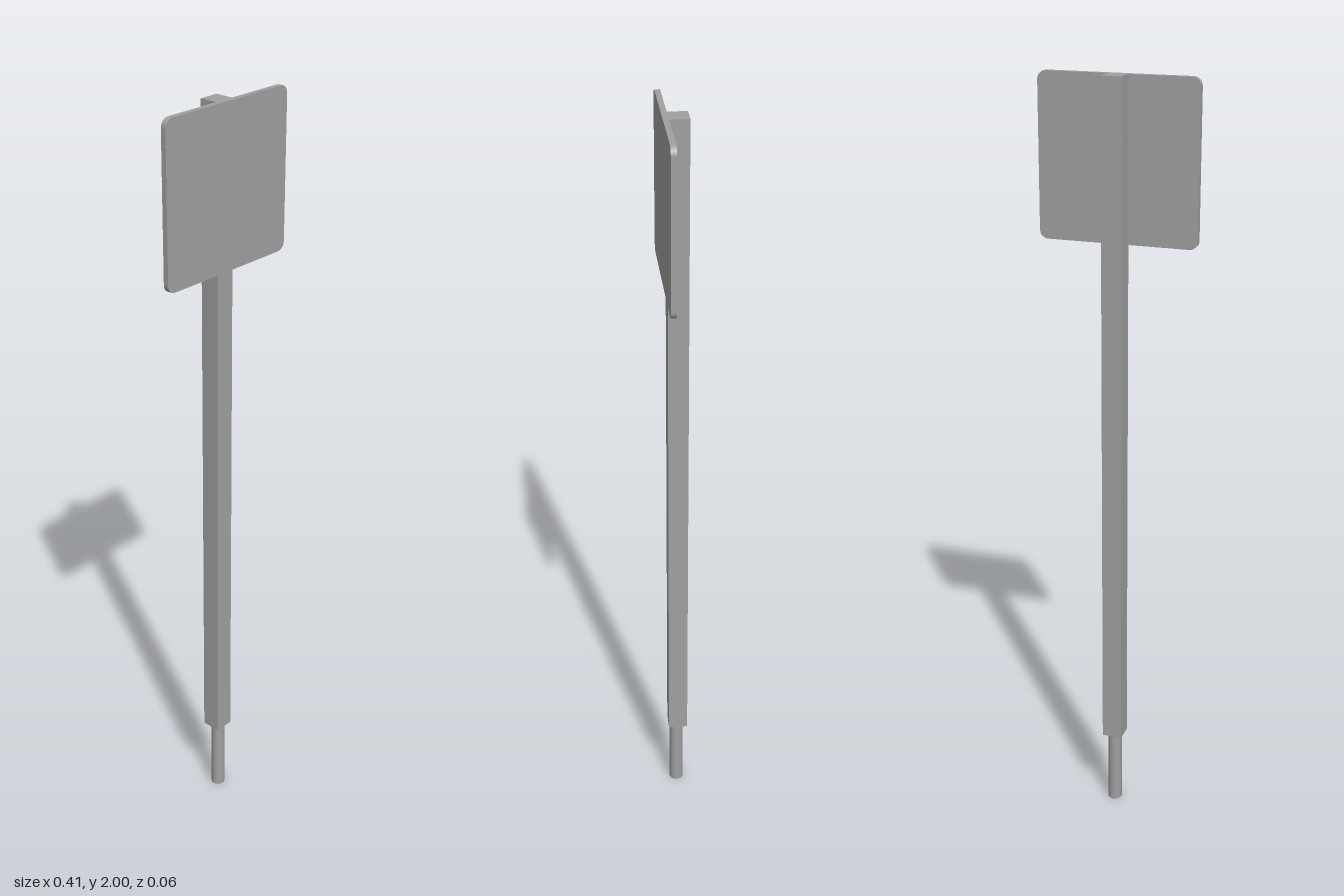
import * as THREE from 'three';

export function createModel() {
  const group = new THREE.Group();
  const grey = new THREE.MeshStandardMaterial({ color: 0xa0a0a0 });
  grey.name = 'grey metal';

  const add = (name, geometry, x, y, z) => {
    const mesh = new THREE.Mesh(geometry, grey);
    mesh.name = name;
    mesh.position.set(x, y, z);
    group.add(mesh);
  };

  const postZ = -0.005, plateBack = 0.017, pegHeight = 0.21;

  // Square post
  add('post', new THREE.BoxGeometry(0.053, 2 - pegHeight, 0.052), 0, (2 + pegHeight) / 2, postZ);

  // Round peg under the post
  add('peg', new THREE.CylinderGeometry(0.019, 0.019, pegHeight, 16), 0, pegHeight / 2, postZ + 0.003);

  // Flat sign plate with rounded corners
  const h = 0.205, r = 0.022;
  const outline = new THREE.Shape();
  outline.absarc(h - r, h - r, r, 0, Math.PI / 2);
  outline.absarc(r - h, h - r, r, Math.PI / 2, Math.PI);
  outline.absarc(r - h, r - h, r, Math.PI, Math.PI * 1.5);
  outline.absarc(h - r, r - h, r, Math.PI * 1.5, Math.PI * 2);
  const plate = new THREE.ExtrudeGeometry(outline, { depth: 0.014, bevelEnabled: false, curveSegments: 6 });
  add('signPlate', plate, 0, 2 - h, plateBack);

  return group;
}
